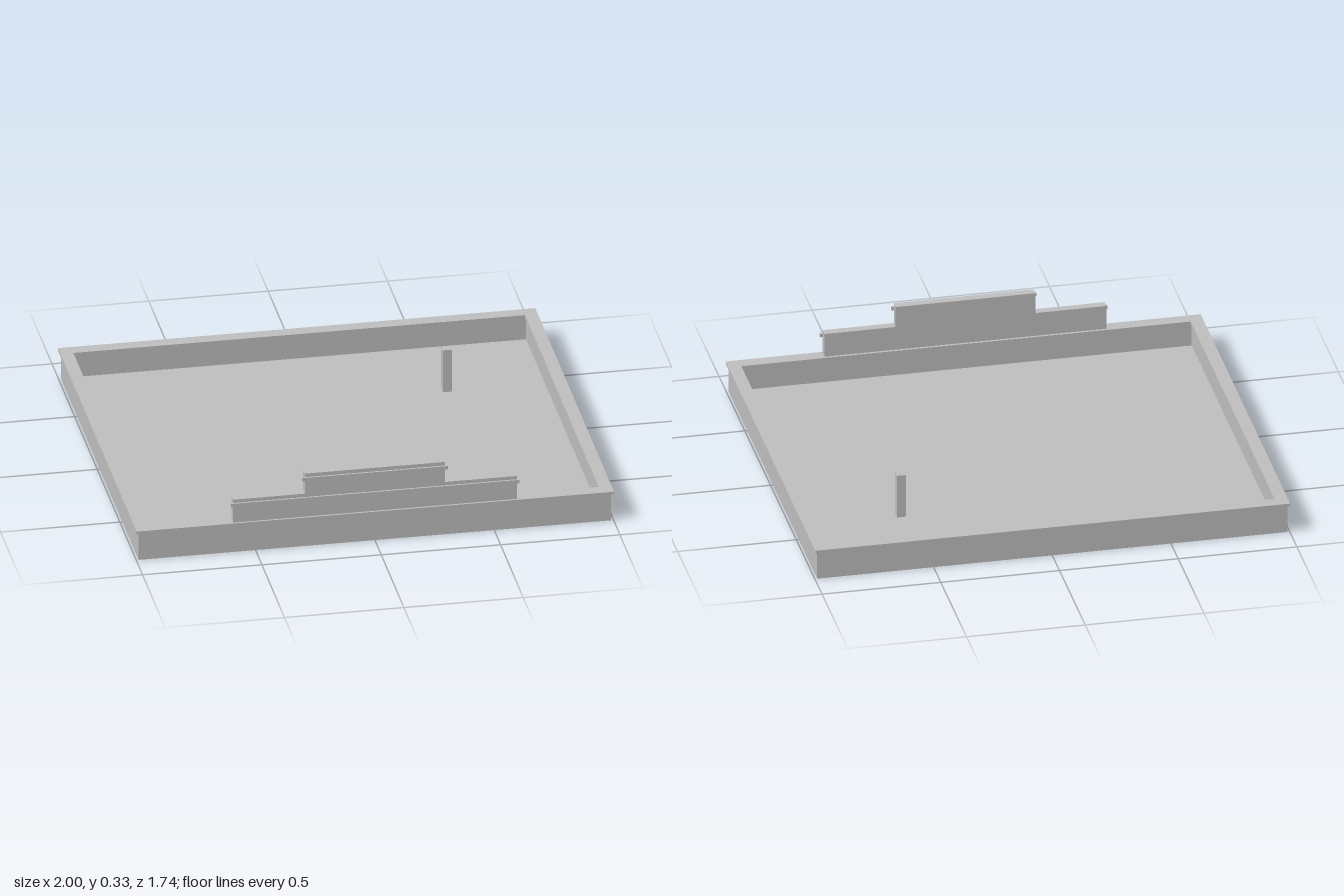
import * as THREE from 'three';

export function createModel() {
  const model = new THREE.Group();
  const grey = new THREE.MeshStandardMaterial({ color: 0xbfbfbf });
  grey.name = 'light grey';

  const add = (name, geometry) => {
    const mesh = new THREE.Mesh(geometry, grey);
    mesh.name = name;
    model.add(mesh);
  };

  // Box given by its extents
  const box = (name, x0, x1, y0, y1, z0, z1) => add(name,
    new THREE.BoxGeometry(x1 - x0, y1 - y0, z1 - z0)
      .translate((x0 + x1) / 2, (y0 + y1) / 2, (z0 + z1) / 2));

  // Rectangular frame lying flat, given by outer and inner half sizes
  const frame = (name, ox, oz, ix, iz, y0, y1) => {
    const corners = (x, z) => [[-x, -z], [x, -z], [x, z], [-x, z]].map(p => new THREE.Vector2(...p));
    const shape = new THREE.Shape(corners(ox, oz));
    shape.holes.push(new THREE.Path(corners(ix, iz).reverse()));
    add(name, new THREE.ExtrudeGeometry(shape, { depth: y1 - y0, bevelEnabled: false })
      .rotateX(-Math.PI / 2).translate(0, y0, 0));
  };

  // Roof deck and the parapet around it
  box('roofDeck', -0.951, 0.951, 0, 0.022, -0.818, 0.818);
  frame('parapetWall', 0.99, 0.86, 0.951, 0.818, 0, 0.123);
  frame('parapetCoping', 1, 0.87, 0.946, 0.814, 0.123, 0.135);

  // Stepped false front, each step with a trim band
  const steps = [
    ['lower', 0.594, 0.135, 0.24, 0.21],
    ['upper', 0.294, 0.24, 0.332, 0.301],
  ];
  for (const [level, halfWidth, y0, y1, bandY] of steps) {
    box(level + 'FalseFront', -halfWidth, halfWidth, y0, y1, 0.825, 0.861);
    box(level + 'TrimBand', -halfWidth - 0.011, halfWidth + 0.011, bandY, bandY + 0.015, 0.857, 0.869);
  }

  // Chimney post on the deck
  box('chimneyPost', 0.523, 0.561, 0.022, 0.214, -0.434, -0.396);

  return model;
}
